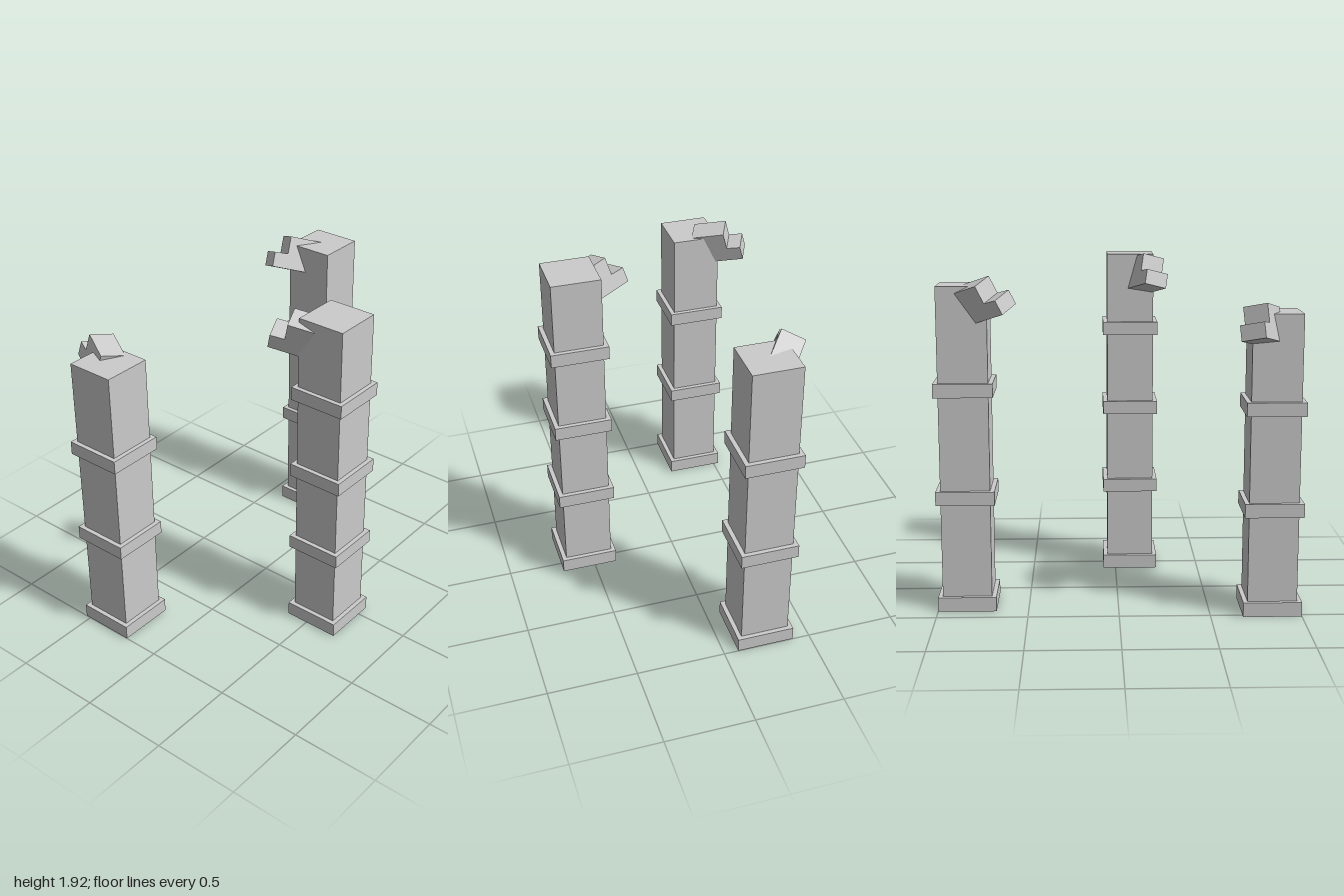
import * as THREE from 'three';

const material = new THREE.MeshStandardMaterial({ color: 0xcccccc, flatShading: true });

function box(name, half, y0, y1) {
  const mesh = new THREE.Mesh(new THREE.BoxGeometry(half * 2, y1 - y0, half * 2), material);
  mesh.name = name;
  mesh.position.y = (y0 + y1) / 2;
  return mesh;
}

// Stepped spout: L-shaped side profile (forward, up) extruded across its width.
// tip is the middle of the lower front edge.
function spout(tip, forward, left) {
  const width = 0.135;
  const profile = [[0, 0], [0, 0.085], [-0.08, 0.088], [-0.08, 0.19], [-0.272, 0.19], [-0.272, 0]];
  const shape = new THREE.Shape(profile.map(([f, u]) => new THREE.Vector2(f, u)));
  const geometry = new THREE.ExtrudeGeometry(shape, { depth: width, bevelEnabled: false });
  geometry.translate(0, 0, -width / 2);

  // Local x runs forward, y up, z to the right
  const f = new THREE.Vector3(...forward).normalize();
  const r = new THREE.Vector3(...left).negate();
  r.addScaledVector(f, -r.dot(f)).normalize();
  const u = new THREE.Vector3().crossVectors(r, f);
  const mesh = new THREE.Mesh(geometry, material);
  mesh.name = 'spout';
  mesh.quaternion.setFromRotationMatrix(new THREE.Matrix4().makeBasis(f, u, r));
  mesh.position.set(...tip);
  return mesh;
}

const towers = [
  { name: 'rightTower', x: -0.838, z: -0.369, height: 1.66, bands: [0.597, 1.152],
    tip: [-0.687, 1.545, -0.664], forward: [0.45, 0.2, -0.87], left: [-0.87, 0.21, -0.46] },
  { name: 'frontTower', x: -0.088, z: 0.531, height: 1.91, bands: [0.52, 0.998, 1.474],
    tip: [-0.228, 1.74, 0.218], forward: [-0.407, 0.207, -0.884], left: [-0.9, -0.25, 0.355] },
  { name: 'leftTower', x: 0.838, z: -0.242, height: 1.795, bands: [0.642, 1.238],
    tip: [0.578, 1.68, -0.44], forward: [-0.76, 0.29, -0.59], left: [-0.5, 0.35, 0.79] },
];

export function createModel() {
  const model = new THREE.Group();
  model.name = 'towers';
  for (const t of towers) {
    const tower = new THREE.Group();
    tower.name = t.name;

    // Square shaft with a plinth and raised bands
    const column = new THREE.Group();
    column.name = 'column';
    column.position.set(t.x, 0, t.z);
    column.add(box('shaft', 0.136, 0, t.height), box('plinth', 0.161, 0, 0.08));
    for (const y of t.bands) column.add(box('band', 0.161, y - 0.038, y + 0.038));

    tower.add(column, spout(t.tip, t.forward, t.left));
    model.add(tower);
  }
  return model;
}
